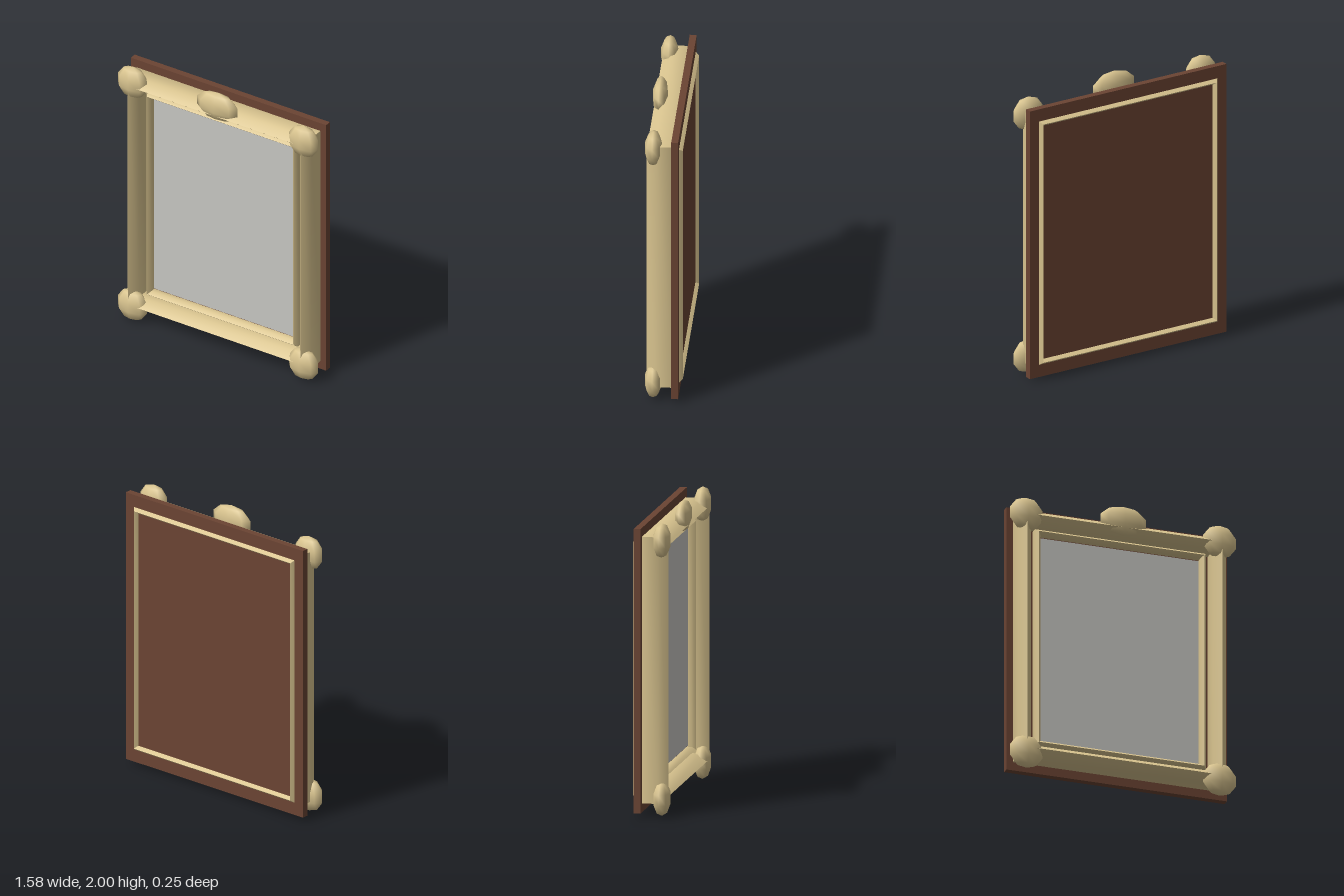
import * as THREE from 'three';
import { toCreasedNormals } from 'three/addons/utils/BufferGeometryUtils.js';

const CY = 0.985; // height of the frame's centre

// Mitred rectangular ring with a stretched six-sided section, ridges front and back
function ringGeometry(halfW, halfH, sectionW, sectionD, z) {
  const corners = [[1, -1], [1, 1], [-1, 1], [-1, -1]];
  const sides = 6, pos = [], index = [];
  for (const [sx, sy] of corners) {
    for (let k = 0; k < sides; k++) {
      const a = Math.PI / 6 + (k * Math.PI) / 3;
      const u = Math.cos(a) * sectionW;
      pos.push(sx * (halfW + u), CY + sy * (halfH + u), z + Math.sin(a) * sectionD);
    }
  }
  for (let c = 0; c < 4; c++) {
    for (let k = 0; k < sides; k++) {
      const a = c * sides + k, b = c * sides + ((k + 1) % sides);
      const a2 = (a + sides) % 24, b2 = (b + sides) % 24;
      index.push(a, a2, b2, a, b2, b);
    }
  }
  const g = new THREE.BufferGeometry();
  g.setAttribute('position', new THREE.Float32BufferAttribute(pos, 3));
  g.setIndex(index);
  return toCreasedNormals(g, 0.85); // soft shoulders, sharp ridges and mitres
}

export function createModel() {
  const group = new THREE.Group();
  const gold = new THREE.MeshStandardMaterial({ name: 'pale gold', color: 0xd9c48f });
  const wood = new THREE.MeshStandardMaterial({ name: 'brown wood', color: 0x6b4433 });
  const glass = new THREE.MeshStandardMaterial({ name: 'mirror grey', color: 0xc8c7c3 });

  const add = (name, geometry, material, x = 0, y = 0, z = 0) => {
    const mesh = new THREE.Mesh(geometry, material);
    mesh.name = name;
    mesh.position.set(x, y, z);
    group.add(mesh);
    return mesh;
  };

  // Backing board, inner panel and mirror pane
  add('backBoard', new THREE.BoxGeometry(1.54, 1.91, 0.046), wood, 0, CY, -0.083);
  add('innerPanel', new THREE.BoxGeometry(1.13, 1.52, 0.05), wood, 0, CY, -0.043);
  add('mirrorPane', new THREE.BoxGeometry(1.108, 1.48, 0.008), glass, 0, CY, -0.014);

  // Gold mouldings; the large one passes through the board
  add('outerMoulding', ringGeometry(0.68, 0.85, 0.052, 0.12, -0.01), gold);
  add('innerMoulding', ringGeometry(0.577, 0.768, 0.023, 0.05, -0.01), gold);

  // Corner bosses and top crest
  const boss = new THREE.SphereGeometry(0.12, 8, 5);
  for (const sx of [-1, 1]) {
    for (const sy of [-1, 1]) {
      const name = (sy > 0 ? 'top' : 'bottom') + (sx > 0 ? 'Left' : 'Right') + 'Boss';
      add(name, boss, gold, sx * 0.675, CY + sy * 0.865, 0.065).scale.set(1, 0.98, 0.5);
    }
  }
  add('topCrest', boss, gold, 0, 1.895, 0.073).scale.set(1.4, 0.875, 0.43);

  return group;
}
